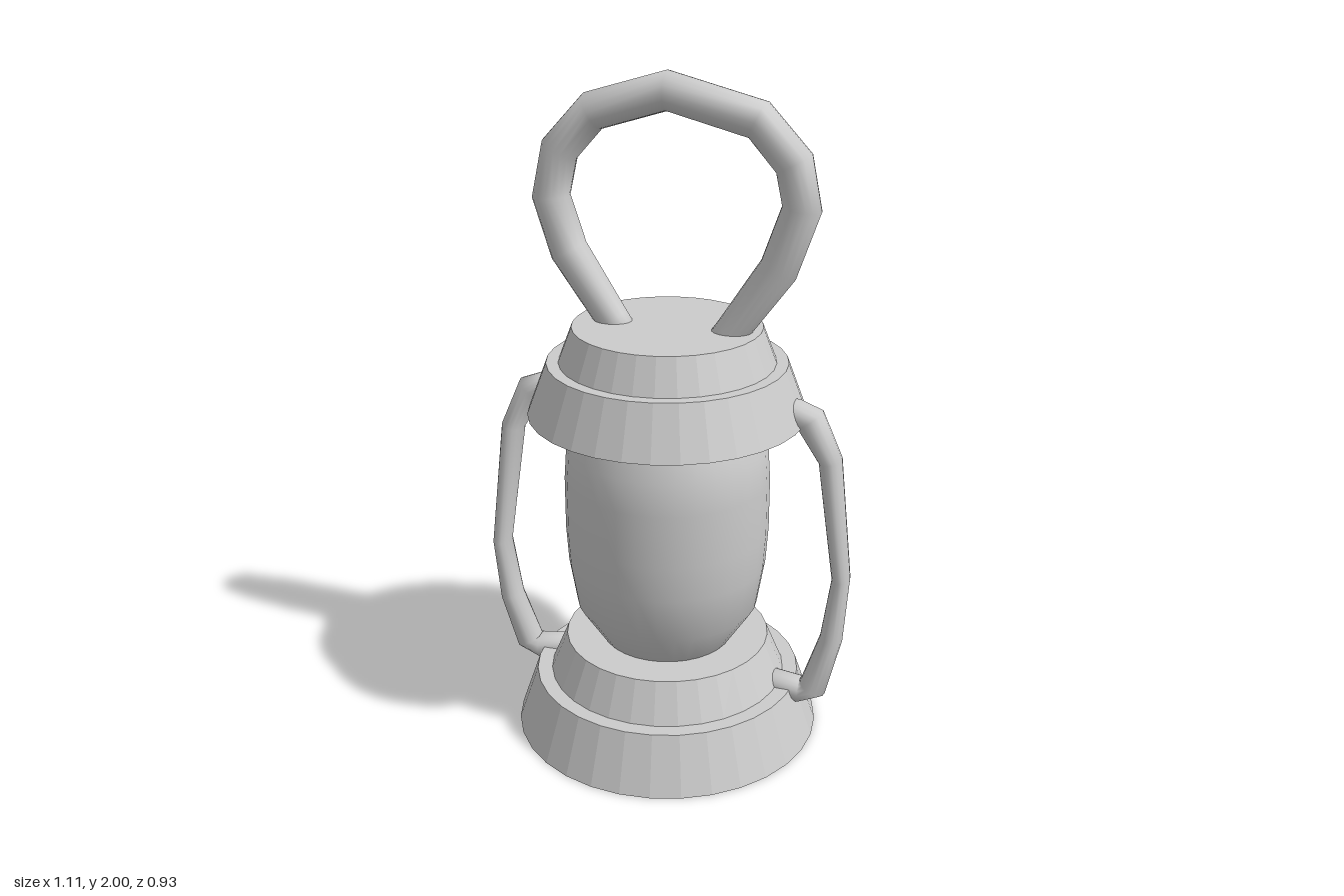
import * as THREE from 'three';

const SIDES = 32;
const smooth = () => new THREE.MeshStandardMaterial({ color: 0xcccccc });
const faceted = () => new THREE.MeshStandardMaterial({ color: 0xcccccc, flatShading: true });

function add(parent, name, geometry, material) {
  const mesh = new THREE.Mesh(geometry, material);
  mesh.name = name;
  parent.add(mesh);
  return mesh;
}

// Tapered ring of the lantern body, standing between two heights
function tier(parent, name, y0, r0, y1, r1) {
  const geometry = new THREE.CylinderGeometry(r1, r0, y1 - y0, SIDES);
  geometry.translate(0, (y0 + y1) / 2, 0);
  return add(parent, name, geometry, faceted());
}

// Bent rod through points [x, y, z, half width in the xy plane, half depth in z]
function rod(points, sides = 16) {
  const last = points.length - 1;
  const positions = [];
  const indices = [];
  points.forEach(([x, y, z, width, depth], i) => {
    const p = points[Math.max(i - 1, 0)];
    const q = points[Math.min(i + 1, last)];
    const t = new THREE.Vector2(q[0] - p[0], q[1] - p[1]).normalize();
    for (let j = 0; j < sides; j++) {
      const a = (j / sides) * Math.PI * 2;
      const w = Math.cos(a) * width;
      positions.push(x - t.y * w, y + t.x * w, z + Math.sin(a) * depth);
      if (i === last) continue;
      const k = (j + 1) % sides;
      const row = i * sides;
      const next = row + sides;
      indices.push(row + j, row + k, next + j, row + k, next + k, next + j);
    }
  });
  // Close both ends
  for (let j = 1; j < sides - 1; j++) {
    const e = last * sides;
    indices.push(0, j + 1, j, e, e + j, e + j + 1);
  }
  const geometry = new THREE.BufferGeometry();
  geometry.setAttribute('position', new THREE.Float32BufferAttribute(positions, 3));
  geometry.setIndex(indices);
  geometry.computeVertexNormals();
  return geometry;
}

export function createModel() {
  const lantern = new THREE.Group();
  lantern.name = 'lantern';

  // Stepped base and cap
  tier(lantern, 'baseLower', 0, 0.465, 0.175, 0.405);
  tier(lantern, 'baseUpper', 0.175, 0.36, 0.295, 0.31);
  tier(lantern, 'capLower', 1.025, 0.408, 1.18, 0.35);
  tier(lantern, 'capUpper', 1.18, 0.315, 1.285, 0.275);

  // Bulging glass chimney
  const profile = [
    [0.15, 0.23], [0.2, 0.295], [0.275, 0.41], [0.298, 0.55], [0.305, 0.66],
    [0.305, 0.82], [0.298, 0.92], [0.26, 1.025], [0.24, 1.06],
  ].map(([r, y]) => new THREE.Vector2(r, y));
  add(lantern, 'glass', new THREE.LatheGeometry(profile, SIDES), smooth());

  // Carrying handle, slightly uneven
  const arch = [
    [-0.11, 1.2], [-0.165, 1.285], [-0.295, 1.48], [-0.345, 1.635], [-0.315, 1.77], [-0.215, 1.88],
    [0, 1.945], [0.255, 1.88], [0.355, 1.77], [0.38, 1.65], [0.32, 1.475], [0.19, 1.285], [0.13, 1.2],
  ].map(([x, y]) => {
    const r = y < 1.4 ? 0.048 : 0.055;
    return [x, y, 0, r, r];
  });
  add(lantern, 'handle', rod(arch), smooth());

  // Side arms, the right one being the left one turned half around
  const arm = rod([
    [0.31, 1.06, 0, 0.04, 0.045],
    [0.385, 1.058, 0, 0.042, 0.046],
    [0.425, 1.045, 0, 0.045, 0.046],
    [0.487, 0.923, -0.008, 0.034, 0.046],
    [0.53, 0.54, -0.03, 0.027, 0.044],
    [0.512, 0.344, -0.015, 0.034, 0.046],
    [0.465, 0.175, 0.004, 0.042, 0.046],
    [0.425, 0.16, 0.005, 0.04, 0.045],
    [0.31, 0.18, 0.005, 0.036, 0.04],
  ]);
  add(lantern, 'leftArm', arm, smooth());
  add(lantern, 'rightArm', arm, smooth()).rotation.y = Math.PI;

  return lantern;
}
